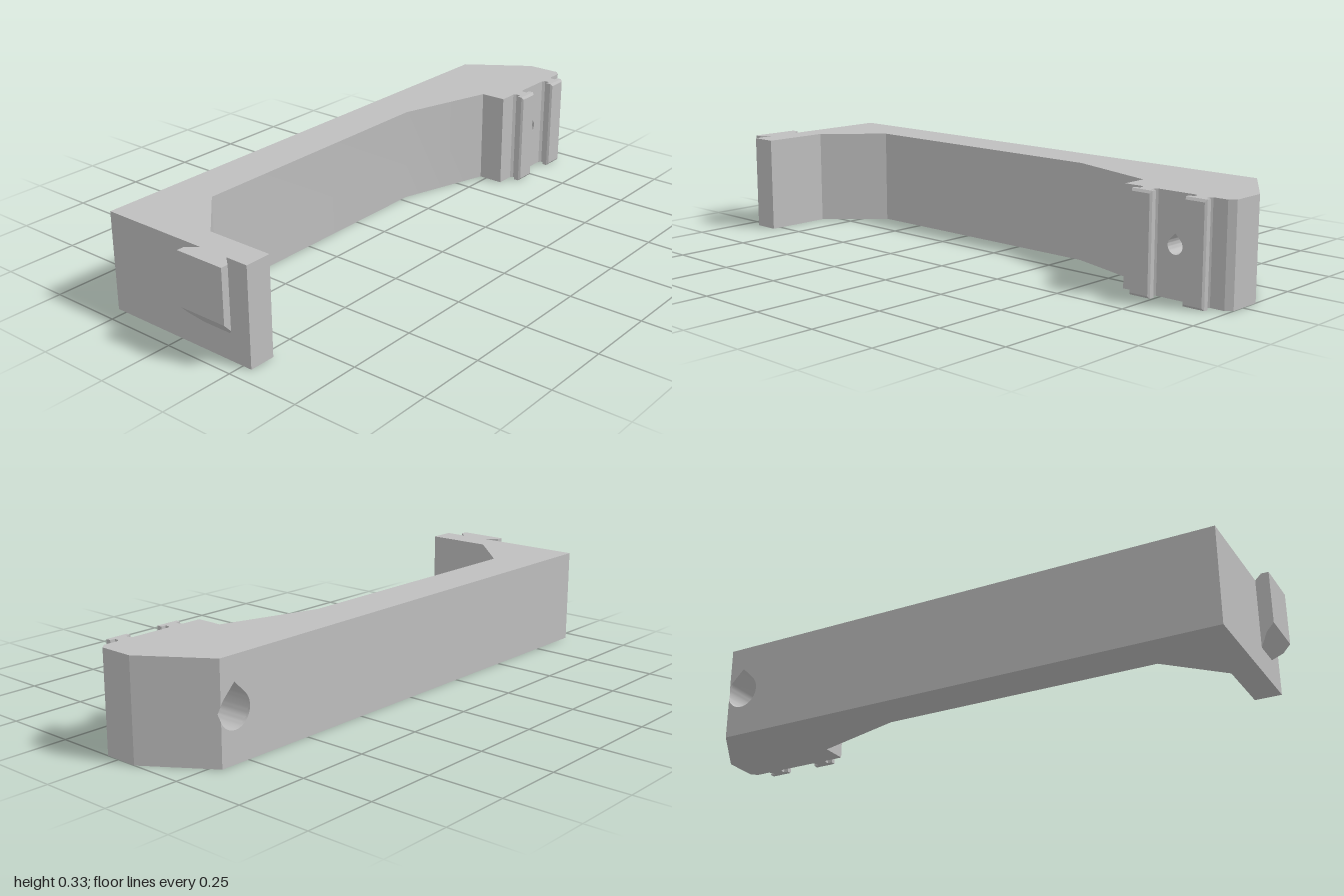
import * as THREE from 'three';
import { toCreasedNormals } from 'three/addons/utils/BufferGeometryUtils.js';

const H = 0.33;                 // bracket height
const BORE = { x: 0.8, y: 0.165 }; // bolt axis, running along z
const toShape = (pts) => new THREE.Shape(pts.map(([x, y]) => new THREE.Vector2(x, y)));

export function createModel() {
  const group = new THREE.Group();
  const grey = new THREE.MeshStandardMaterial({ color: 0xbebebe });
  grey.name = 'grey';

  function add(name, geometry, parent = group) {
    const mesh = new THREE.Mesh(toCreasedNormals(geometry, 0.5), grey);
    mesh.name = name;
    parent.add(mesh);
    return mesh;
  }

  // Move every vertex by a rule that edits it in place
  function warp(geometry, rule) {
    const pos = geometry.attributes.position;
    const v = new THREE.Vector3();
    for (let i = 0; i < pos.count; i++) {
      rule(v.fromBufferAttribute(pos, i));
      pos.setXYZ(i, v.x, v.y, v.z);
    }
    return geometry;
  }

  // Plan outline of [x, z] points, extruded upwards
  function plan(pts, y0, y1) {
    const g = new THREE.ExtrudeGeometry(toShape(pts.map(([x, z]) => [x, -z])),
      { depth: y1 - y0, bevelEnabled: false });
    return g.rotateX(-Math.PI / 2).translate(0, y0, 0);
  }

  // Front outline, extruded from z0 to z1
  function slab(shape, z0, z1) {
    return new THREE.ExtrudeGeometry(shape, { depth: z1 - z0, bevelEnabled: false })
      .translate(0, 0, z0);
  }

  // Teardrop arc points, counter-clockwise between two angles through the pointed top
  function arc(r, from, to, steps) {
    return Array.from({ length: steps + 1 }, (_, i) => {
      const a = THREE.MathUtils.degToRad(from + (to - from) * i / steps);
      return [BORE.x + r * Math.cos(a), BORE.y + r * Math.sin(a)];
    });
  }
  const teardrop = (r) => [[BORE.x, BORE.y + r * Math.SQRT2], ...arc(r, 135, 405, 36)];

  // Arm and left leg
  add('arm', plan([
    [-0.945, -0.283], [0.61, -0.283], [0.61, -0.025], [0.28, -0.125],
    [-0.68, -0.125], [-0.855, 0.05], [-0.855, 0.283], [-0.945, 0.283],
  ], 0, H));

  // Dovetail lug on the outer face of the leg, with a sloped underside
  add('dovetailLug', warp(plan([
    [-0.945, 0.1], [-0.975, 0.065], [-1, 0.065], [-1, 0.24], [-0.975, 0.24], [-0.945, 0.205],
  ], 0, H), (v) => {
    if (v.y < 0.1) v.y = 0.09 + (-0.945 - v.x) / 0.055 * 0.06;
  }));

  // Mounting block, made of slabs from back to front around the bolt hole
  const block = new THREE.Group();
  block.name = 'mountingBlock';
  group.add(block);
  const X0 = 0.61, R = 0.06, r = 0.027;

  function holedSlab(name, xBack, xFront, z0, z1, radius) {
    const shape = toShape([[X0, 0], [xBack, 0], [xBack, H], [X0, H]]);
    shape.holes.push(toShape(teardrop(radius)));
    add(name, warp(slab(shape, z0, z1), (v) => {
      if (v.z > z1 - 1e-4 && v.x > xBack - 1e-4) v.x = xFront;
    }), block);
  }

  // Rear slab: the bore just breaks through the sloped corner
  const mouth = 23.56, edge = 0.855;
  const bite = toShape([
    [X0, 0], [edge, 0],
    ...arc(R, 360 - mouth, 135, 28), [BORE.x, BORE.y + R * Math.SQRT2],
    ...arc(R, 45, mouth, 4), [edge, H], [X0, H],
  ]);
  add('blockRear', warp(slab(bite, -0.283, -0.275), (v) => {
    if (v.z < -0.276 || v.x < edge - 0.0002) return;
    v.x = 0.8603;
    if (Math.abs(v.y - BORE.y) < 0.03) v.y = BORE.y;
  }), block);
  holedSlab('blockSlope', 0.8603, 1, -0.275, -0.07, R);
  holedSlab('blockMiddle', 1, 1, -0.07, 0.047, r);
  holedSlab('blockChamfer', 1, 0.98, 0.047, 0.065, r);

  // Two T-shaped rails on the front of the block
  for (const x of [0.705, 0.9]) {
    const rail = new THREE.Group();
    rail.name = 'tRail';
    rail.position.x = x;
    group.add(rail);
    add('railNeck', plan([
      [-0.03, 0.065], [-0.021, 0.073], [-0.021, 0.09],
      [0.021, 0.09], [0.021, 0.073], [0.03, 0.065],
    ].reverse(), 0, H), rail);
    const w = 0.038;
    const outline = toShape([[-w, 0], [w, 0], [w, H], [-w, H]]);
    add('railHead', slab(outline, 0.089, 0.106), rail);
    // Chamfered face, drawn in on all four sides
    add('railFace', warp(slab(outline, 0.106, 0.113), (v) => {
      if (v.z < 0.112) return;
      v.x -= Math.sign(v.x) * 0.005;
      v.y += v.y > H / 2 ? -0.008 : 0.008;
    }), rail);
  }

  return group;
}
